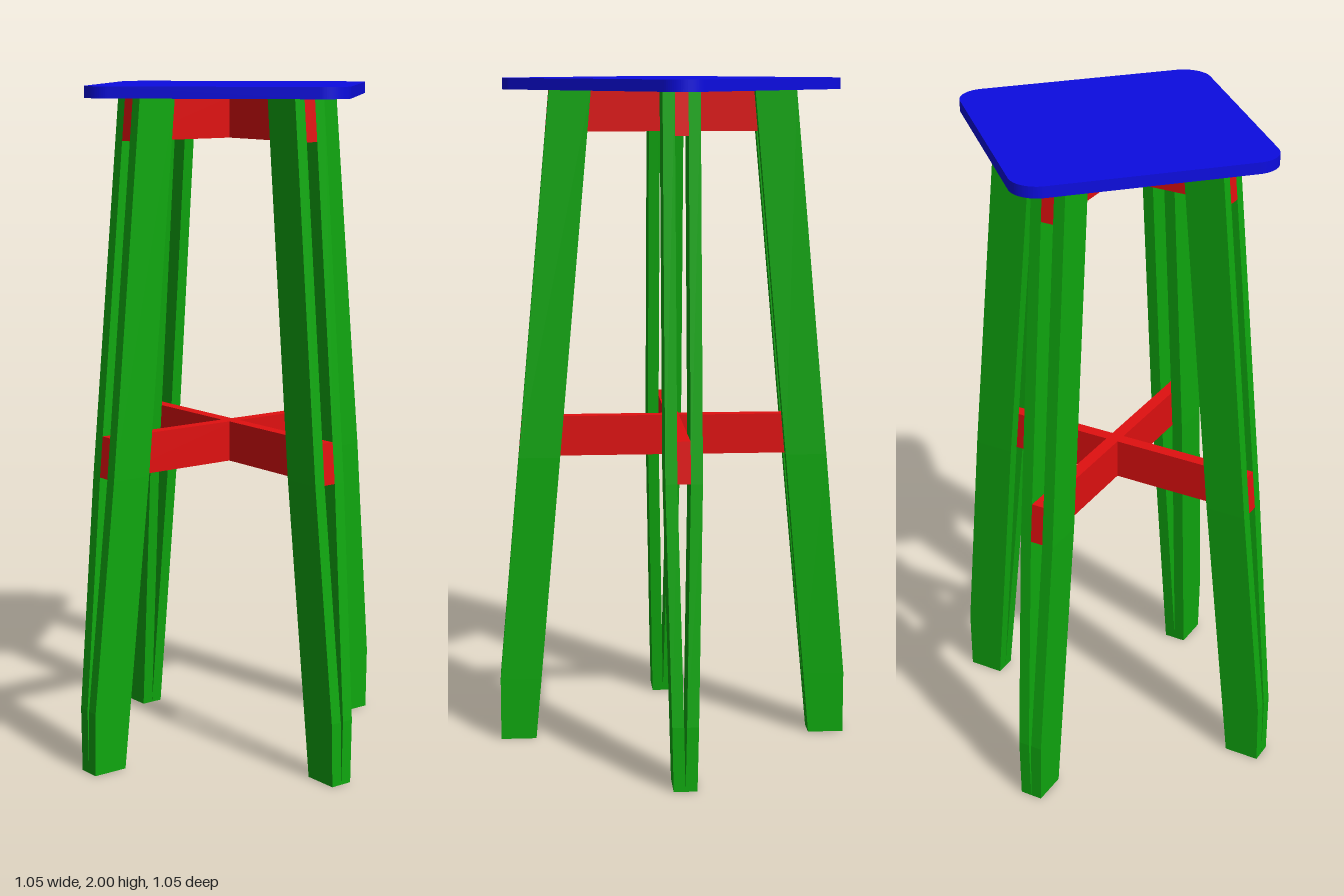
import * as THREE from 'three';

const GREEN = 0x0fa80f, RED = 0xe01010, BLUE = 0x0c0ce0;
const TOP = 1.967;        // underside of the seat
const BEND = 0.88;        // below this height the two boards of a leg close up
const SLOT = 0.019;       // half width of the slot between the boards
const BOARD = 0.034;      // board thickness

const outerR = (y) => Math.min(0.527, 0.362 + (TOP - y) * 0.0927);
const innerR = (y) => 0.24 + (TOP - y) * 0.0914;

// Skins a stack of four-cornered cross-sections (counter-clockwise from above, bottom first).
function loft(rings) {
  const pos = [];
  const quad = (a, b, c, d) => [a, b, c, a, c, d].forEach((p) => pos.push(...p));
  for (let i = 0; i + 1 < rings.length; i++) {
    const lo = rings[i], hi = rings[i + 1];
    for (let k = 0; k < 4; k++) {
      const n = (k + 1) % 4;
      quad(lo[k], lo[n], hi[n], hi[k]);
    }
  }
  const [b, t] = [rings[0], rings[rings.length - 1]];
  quad(b[3], b[2], b[1], b[0]);
  quad(t[0], t[1], t[2], t[3]);
  const geometry = new THREE.BufferGeometry();
  geometry.setAttribute('position', new THREE.Float32BufferAttribute(pos, 3));
  geometry.computeVertexNormals();
  return geometry;
}

// Cross-section reaching from x0 to x1 and z0 to z1 at height y.
const section = (y, x0, x1, z0, z1) => [[x0, y, z1], [x1, y, z1], [x1, y, z0], [x0, y, z0]];

// One board of a leg that leans along +x; side is +1 or -1.
function boardGeometry(side) {
  const heights = [0, 0.19, BEND, TOP];
  return loft(heights.map((y) => {
    const near = SLOT * Math.min(1, y / BEND);
    const z = [side * near, side * (near + BOARD)].sort((a, b) => a - b);
    return section(y, innerR(y), outerR(y), z[0], z[1]);
  }));
}

// Rail arm along +x, its end cut flush with the sloping outer face of the leg.
const railGeometry = (y0, y1, start) =>
  loft([y0, y1].map((y) => section(y, start, outerR(y), -SLOT, SLOT)));

// Square seat with rounded corners, turned so its corners sit over the legs.
function seatGeometry() {
  const half = 0.53 / Math.SQRT2, r = 0.08, c = half - r;
  const shape = new THREE.Shape();
  [[c, c], [-c, c], [-c, -c], [c, -c]].forEach(([x, y], i) =>
    shape.absarc(x, y, r, i * Math.PI / 2, (i + 1) * Math.PI / 2, false));
  const geometry = new THREE.ExtrudeGeometry(shape, {
    depth: 2 - TOP, bevelEnabled: false, curveSegments: 10,
  });
  return geometry.rotateX(-Math.PI / 2).rotateY(Math.PI / 4).translate(0, TOP, 0);
}

export function createModel() {
  const model = new THREE.Group();
  model.name = 'stool';
  const material = (color) => new THREE.MeshStandardMaterial({ color });
  const green = material(GREEN), red = material(RED), blue = material(BLUE);
  const add = (parent, name, geometry, mat) => {
    const mesh = new THREE.Mesh(geometry, mat);
    mesh.name = name;
    parent.add(mesh);
  };

  // Four legs, each two boards holding the ends of an upper and a lower rail
  ['left', 'back', 'right', 'front'].forEach((place, i) => {
    const quarter = new THREE.Group();
    quarter.name = `${place}Leg`;
    quarter.rotation.y = i * Math.PI / 2;
    for (const side of [1, -1]) add(quarter, 'legBoard', boardGeometry(side), green);
    const start = i % 2 ? SLOT : 0; // one pair runs through, the other butts against it
    add(quarter, 'upperRail', railGeometry(1.845, TOP, start), red);
    add(quarter, 'lowerRail', railGeometry(BEND, 1.0, start), red);
    model.add(quarter);
  });

  add(model, 'seat', seatGeometry(), blue);
  return model;
}
